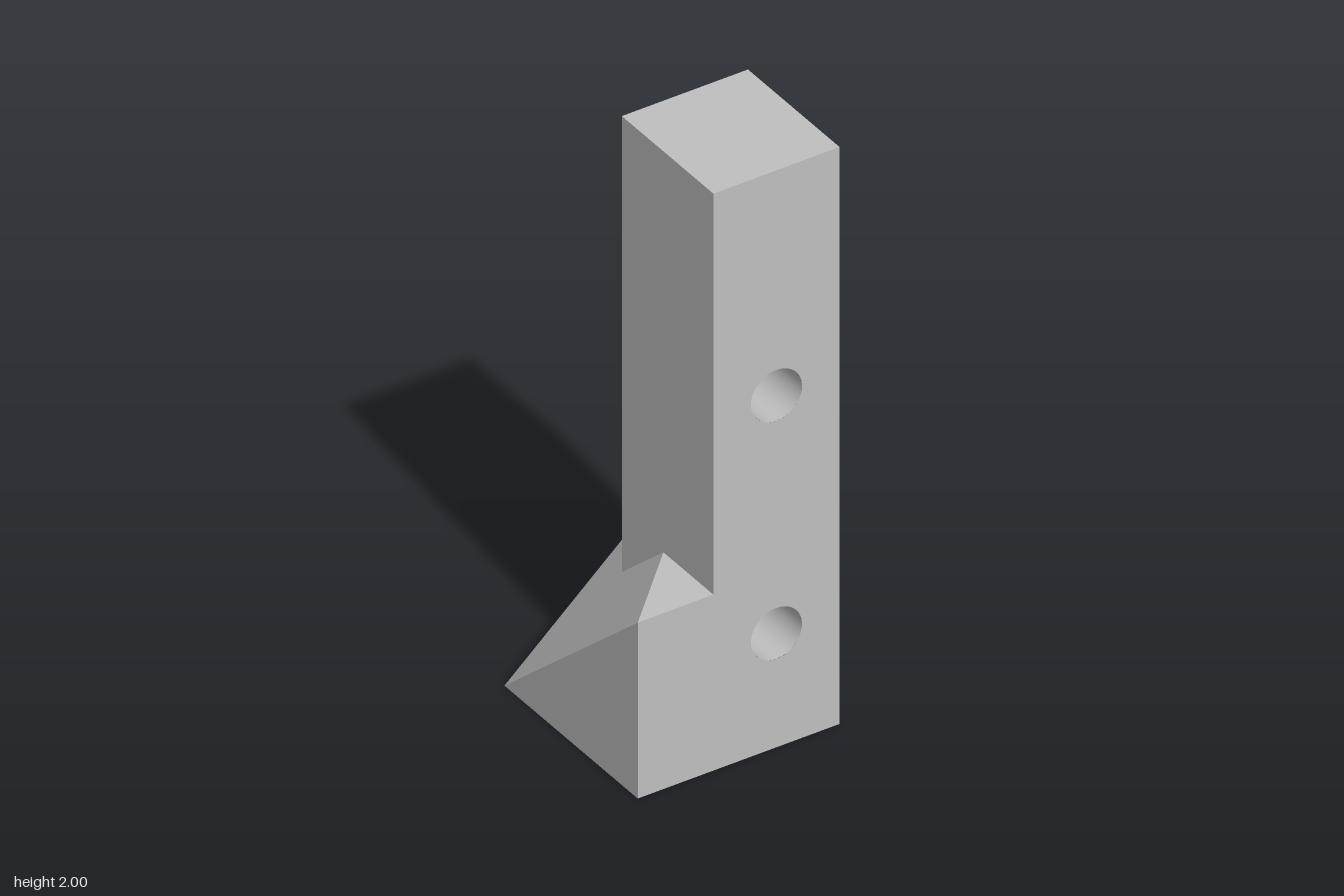
import * as THREE from 'three';
import { toCreasedNormals } from 'three/addons/utils/BufferGeometryUtils.js';

const S = 0.3475;          // half width of the base block
const BASE = 0.61;         // height of the base block
const TOP = 2;             // height of the post
const PX = -0.087;         // left side of the post
const PZ = -0.13;          // back side of the post
const R = 0.088;           // hole radius
const SEGMENTS = 40;

// height of the sloping cut across the back left corner
const slopeY = (x, z) => BASE * (1 + (x + z) / (2 * S));

export function createModel() {
  const model = new THREE.Group();
  model.name = 'drilledCornerPost';
  const grey = new THREE.MeshStandardMaterial({ color: 0xbfbfbf });
  grey.name = 'plain grey';

  // blind hole: mouth at z = 0, running towards -z, facing inwards
  function pocket(depth) {
    const profile = [[R, 0], [R, -depth], [0, -depth]].map(([x, y]) => new THREE.Vector2(x, y));
    const geometry = toCreasedNormals(new THREE.LatheGeometry(profile, SEGMENTS), 0.6);
    return geometry.rotateX(Math.PI / 2);
  }

  // flat face facing local +z, with blind holes, then turned and placed
  function panel(name, points, rotation, position, holes = [], depth = 0.25) {
    const group = new THREE.Group();
    group.name = name;
    const shape = new THREE.Shape(points.map(([x, y]) => new THREE.Vector2(x, y)));
    for (const [x, y] of holes) {
      const path = new THREE.Path();
      path.absarc(x, y, R, 0, Math.PI * 2, true);
      shape.holes.push(path);
      const hole = new THREE.Mesh(pocket(depth), grey);
      hole.name = name + 'Hole';
      hole.position.set(x, y, 0);
      group.add(hole);
    }
    const face = new THREE.Mesh(new THREE.ShapeGeometry(shape, SEGMENTS), grey);
    face.name = name + 'Face';
    group.add(face);
    group.rotation.set(...rotation);
    group.position.set(...position);
    model.add(group);
  }

  const Q = Math.PI / 2;

  // front and right: L-shaped faces with two holes each
  panel('front', [[-S, 0], [S, 0], [S, TOP], [PX, TOP], [PX, BASE], [-S, BASE]],
    [0, 0, 0], [0, 0, S], [[0.13, 1.22], [0.13, 0.395]]);
  panel('right', [[-S, 0], [S, 0], [S, BASE], [-PZ, BASE], [-PZ, TOP], [-S, TOP]],
    [0, Q, 0], [S, 0, 0], [[-0.11, 0.785], [0.215, 0.22]]);

  // bottom with one hole
  panel('bottom', [[-S, -S], [S, -S], [S, S], [-S, S]],
    [Q, 0, 0], [0, 0, 0], [[-0.13, -0.13]], 0.2);

  // triangles left below the sloping cut
  panel('back', [[-S, 0], [S, 0], [-S, BASE]], [0, Math.PI, 0], [0, 0, -S]);
  panel('left', [[-S, 0], [S, 0], [S, BASE]], [0, -Q, 0], [-S, 0, 0]);

  // post sides, ending on the slope and the shelves
  const notch = slopeY(PX, PZ);
  panel('postBack', [[-S, TOP], [-S, BASE], [PZ, BASE], [-PX, notch], [-PX, TOP]],
    [0, Math.PI, 0], [0, 0, PZ]);
  panel('postLeft', [[PZ, TOP], [PZ, notch], [-PX, BASE], [S, BASE], [S, TOP]],
    [0, -Q, 0], [PX, 0, 0]);

  // level faces: post top and the two small shelves
  panel('postTop', [[PX, -S], [S, -S], [S, -PZ], [PX, -PZ]], [-Q, 0, 0], [0, TOP, 0]);
  panel('leftShelf', [[-S, -S], [PX, -S], [PX, PX]], [-Q, 0, 0], [0, BASE, 0]);
  panel('backShelf', [[S, S], [-PZ, -PZ], [S, -PZ]], [-Q, 0, 0], [0, BASE, 0]);

  // sloping cut, drawn in plan and lifted to its height
  const plan = [[-S, S], [PX, -PX], [PX, PZ], [-PZ, PZ], [S, -S], [-S, -S]];
  const slope = new THREE.ShapeGeometry(
    new THREE.Shape(plan.map(([x, z]) => new THREE.Vector2(x, -z))));
  slope.rotateX(-Q);
  const p = slope.attributes.position;
  for (let i = 0; i < p.count; i++) p.setY(i, slopeY(p.getX(i), p.getZ(i)));
  slope.computeVertexNormals();
  const cut = new THREE.Mesh(slope, grey);
  cut.name = 'slopingCut';
  model.add(cut);

  return model;
}
